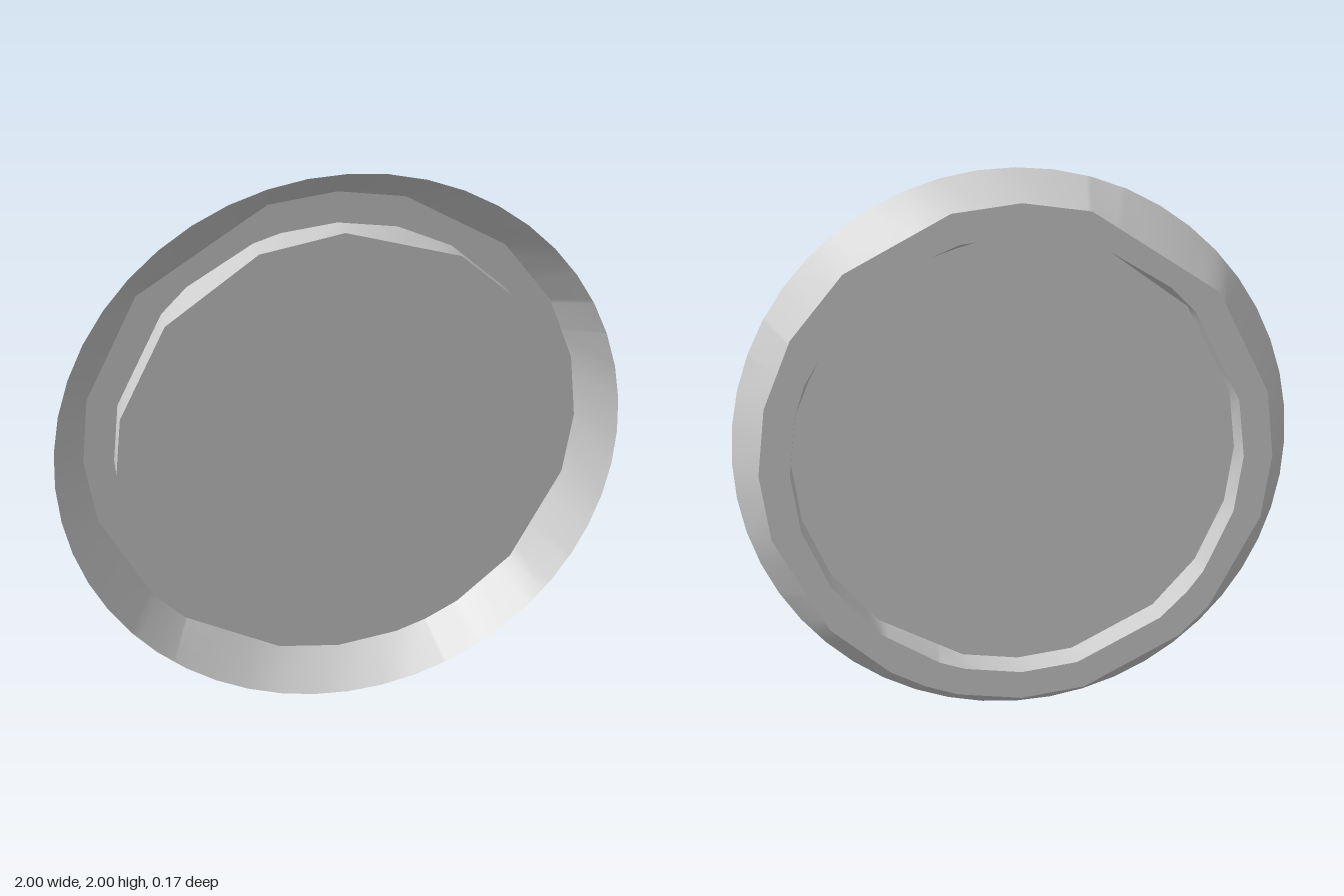
import * as THREE from 'three';

// Corner angles (degrees) of each polygonal loop
const RIM = Array.from({ length: 48 }, (_, i) => i * 7.5);
const LEDGE = [0, 15, 31, 49, 75, 90, 105, 139, 165, 180, 195, 220, 229.5, 255, 270, 285, 293, 302, 319.5, 345];
const PANEL = [0, 15, 41, 60, 90, 111, 139, 165, 180, 195, 213, 230, 255, 270, 285, 310, 328, 345];
const HOLE = [...PANEL, 23, 75, 104, 130, 220, 292].sort((a, b) => a - b);

// Shared sampling angles, so neighbouring loops join without gaps
const ANGLES = [...new Set([...RIM, ...LEDGE, ...HOLE])].sort((a, b) => a - b);

// Points on the straight sides of a polygon inscribed in a circle
function loop(corners, radius, z) {
  return ANGLES.map((deg) => {
    const i = corners.findLastIndex((c) => c <= deg);
    const start = corners[i];
    const end = corners[i + 1] ?? 360;
    const rad = THREE.MathUtils.degToRad;
    const r = radius * Math.cos(rad((end - start) / 2)) / Math.cos(rad(deg - (start + end) / 2));
    return new THREE.Vector3(r * Math.cos(rad(deg)), r * Math.sin(rad(deg)), z);
  });
}

// Smooth band between an outer and an inner loop, facing the front
function band(name, outer, inner, material) {
  const n = outer.length;
  const index = [];
  for (let i = 0; i < n; i++) {
    const j = (i + 1) % n;
    index.push(i, j, n + j, i, n + j, n + i);
  }
  const geometry = new THREE.BufferGeometry().setFromPoints([...outer, ...inner]);
  geometry.setIndex(index);
  geometry.computeVertexNormals();
  const mesh = new THREE.Mesh(geometry, material);
  mesh.name = name;
  return mesh;
}

export function createModel() {
  const group = new THREE.Group();
  group.name = 'dish';
  const material = new THREE.MeshStandardMaterial({ color: 0xcccccc, side: THREE.DoubleSide });

  const rim = loop(RIM, 1, 0.083);
  const ledge = loop(LEDGE, 0.9, -0.083);
  const hole = loop(HOLE, 0.795, -0.083);
  const panel = loop(PANEL, 0.795, 0.037);

  // Flared edge, flat ledge at the back, and the wall up to the raised panel
  group.add(band('flaredRim', rim, ledge, material));
  group.add(band('flatLedge', ledge, hole, material));
  group.add(band('panelWall', hole, panel, material));

  // Raised centre panel
  const shape = new THREE.Shape(panel.map((p) => new THREE.Vector2(p.x, p.y)));
  const centre = new THREE.Mesh(new THREE.ShapeGeometry(shape), material);
  centre.name = 'centrePanel';
  centre.position.z = 0.037;
  group.add(centre);

  group.position.y = 1;
  return group;
}
